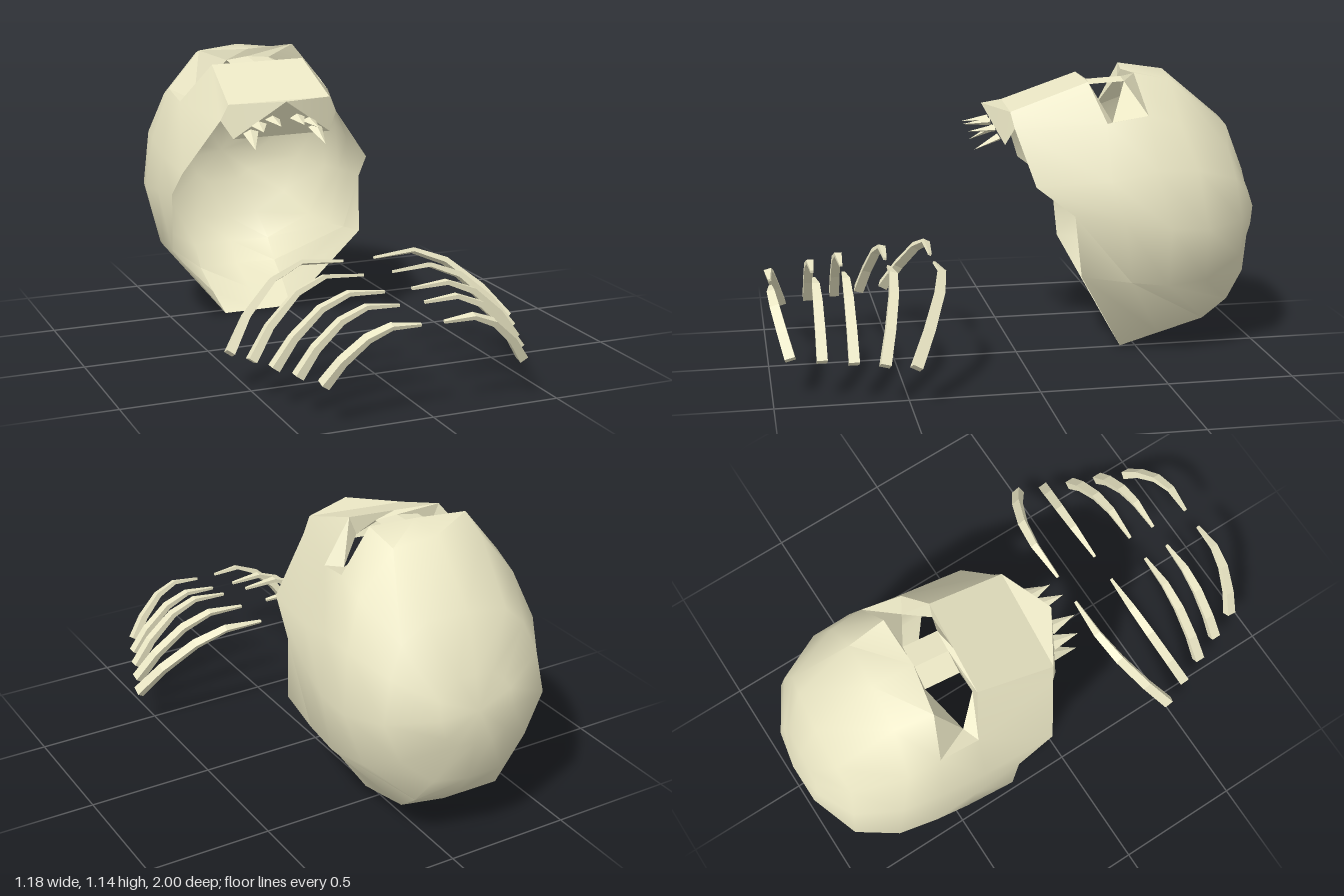
import * as THREE from 'three';
import { toCreasedNormals } from 'three/addons/utils/BufferGeometryUtils.js';

const bone = new THREE.MeshStandardMaterial({ color: 0xeae6c4, side: THREE.DoubleSide });

// Collects polygons (as fans) into a creased geometry
function surface(polys, crease) {
  const pos = [];
  for (const p of polys)
    for (let i = 1; i < p.length - 1; i++) pos.push(...p[0], ...p[i], ...p[i + 1]);
  const g = new THREE.BufferGeometry();
  g.setAttribute('position', new THREE.Float32BufferAttribute(pos, 3));
  return toCreasedNormals(g, crease);
}

function add(parent, name, geometry) {
  const mesh = new THREE.Mesh(geometry, bone);
  mesh.name = name;
  parent.add(mesh);
  return mesh;
}

const mirror = polys => polys.map(p => p.map(([x, y, z]) => [-x, y, z]).reverse());
const bothSides = polys => [...polys, ...mirror(polys)];

// Half sections of the skull, top centre to bottom centre, from the open rim to the back
const rings = [
  [[0, .988, .01], [.205, .988, .01], [.235, .925, -.005], [.38, .715, -.075],
    [.395, .6, -.225], [.4, .36, -.25], [.145, .005, -.445], [0, .005, -.445]],
  [[0, 1.1, -.3], [.19, 1.1, -.3], [.315, .95, -.36], [.395, .73, -.37],
    [.415, .58, -.42], [.395, .33, -.45], [.16, .06, -.6], [0, .06, -.6]],
  [[0, 1.13, -.46], [.2, 1.135, -.48], [.325, .98, -.52], [.4, .77, -.55],
    [.43, .55, -.6], [.38, .31, -.6], [.17, .12, -.78], [0, .12, -.8]],
  [[0, 1.13, -.63], [.18, 1.105, -.63], [.32, .94, -.65], [.385, .77, -.71],
    [.41, .54, -.75], [.33, .32, -.76], [.17, .2, -.88], [0, .2, -.89]],
  [[0, .93, -.87], [.16, .915, -.865], [.25, .835, -.855], [.3, .72, -.88],
    [.33, .56, -.9], [.26, .4, -.91], [.14, .31, -.95], [0, .3, -.96]],
  [[0, .72, -.955], [.07, .72, -.955], [.12, .68, -.955], [.145, .645, -.965],
    [.15, .58, -.985], [.12, .5, -.985], [.07, .46, -.985], [0, .46, -.985]],
];

function buildSkull() {
  const skull = new THREE.Group();
  skull.name = 'skull';

  // Shell, left open at the snout top and the eye band
  const shell = [];
  const pole = [0, .6, -1];
  rings.forEach((ring, i) => {
    const next = rings[i + 1];
    const first = [1, 2][i] ?? 0;
    for (let j = first; j < ring.length - 1; j++)
      shell.push(next
        ? [ring[j], ring[j + 1], next[j + 1], next[j]]
        : [ring[j], ring[j + 1], pole]);
  });
  add(skull, 'skullShell', surface(bothSides(shell), 0.85));

  // Snout: flat top with a pointed, notched upper jaw in front
  const [rim, corner, cheek] = rings[0];
  const [low, lowIn, lowOut] = rings[1];
  const nose = [0, 1, .11], lip = [.195, .855, .03];
  add(skull, 'snout', surface(bothSides([
    [rim, corner, lowIn, low],
    [nose, corner, rim],
    [nose, lip, corner],
    [lip, cheek, corner],
    [nose, [0, lip[1], lip[2]], lip],
  ]), 0.2));

  // Eye sockets: side openings under a high bridge
  const [brow, browIn, browOut] = rings[2];
  const h1 = [.09, 1.08, -.32], h2 = [.16, 1.03, -.305];
  const h3 = [.25, .945, -.39], h4 = [.09, 1.09, -.46];
  const b1 = [0, 1.09, -.32], b2 = [0, 1.1, -.46];
  add(skull, 'eyeSockets', surface(bothSides([
    [low, lowIn, h2, h1, b1],
    [lowIn, lowOut, h3, h2],
    [lowOut, browOut, h3],
    [browOut, browIn, h4, h3],
    [browIn, brow, b2, h4],
    [b1, h1, h4, b2],
  ]), 0.2));

  // Teeth: flattened spikes from root to tip
  const teeth = [
    [[.05, .93, .08], [.045, .92, .19]],
    [[.1, .91, .065], [.11, .9, .17]],
    [[.13, .88, .05], [.14, .83, .15]],
  ];
  for (const side of [1, -1])
    for (const [root, tip] of teeth) {
      const a = new THREE.Vector3(side * root[0], root[1], root[2]);
      const b = new THREE.Vector3(side * tip[0], tip[1], tip[2]);
      const cone = new THREE.ConeGeometry(.03, a.distanceTo(b), 4).toNonIndexed();
      cone.scale(1, 1, .5);
      cone.computeVertexNormals();
      const tooth = add(skull, 'tooth', cone);
      tooth.position.lerpVectors(a, b, .5);
      tooth.quaternion.setFromUnitVectors(new THREE.Vector3(0, 1, 0), b.sub(a).normalize());
    }

  // The skull lies slightly turned and tipped
  skull.position.set(-.162, .003, 0);
  skull.rotation.set(0, -.09, .03);
  return skull;
}

// Rib: rectangular sections along an arch in a leaning plane, thin at the inner end
function ribPolygons({ inner, outer, top, zIn, zOut }) {
  const foot = .165;
  const slope = (zOut - zIn) / (top - foot), norm = Math.hypot(1, slope);
  const halfWidth = [.006, .015, .018, .019, .02];
  const path = [[0, .04], [.33, 0], [.58, .18], [.83, .58], [1, 1]].map(([u, v]) =>
    [inner + (outer - inner) * u, top - .012 - (top - foot) * v, zIn + (zOut - zIn) * v]);
  const sections = path.map(([x, y, z], i) => {
    const p = path[Math.max(i - 1, 0)], q = path[Math.min(i + 1, path.length - 1)];
    const len = Math.hypot(q[0] - p[0], q[1] - p[1]);
    const nx = -(q[1] - p[1]) / len, ny = (q[0] - p[0]) / len / norm;
    const t = .005 + .003 * i, w = halfWidth[i] / norm;
    return [[1, 1], [1, -1], [-1, -1], [-1, 1]].map(([a, b]) =>
      [x + nx * t * a, y + ny * t * a + slope * w * b, z - ny * slope * t * a + w * b]);
  });
  const polys = [sections[0], [...sections[sections.length - 1]].reverse()];
  for (let i = 0; i < sections.length - 1; i++)
    for (let k = 0; k < 4; k++) {
      const m = (k + 1) % 4;
      polys.push([sections[i][m], sections[i + 1][m], sections[i + 1][k], sections[i][k]]);
    }
  return polys;
}

export function createModel() {
  const model = new THREE.Group();
  model.name = 'skeleton';
  model.add(buildSkull());

  // Five pairs of ribs
  const ribs = new THREE.Group();
  ribs.name = 'ribs';
  const pairs = [
    { inner: .065, outer: .575, top: .437, zIn: .335, zOut: .48 },
    { inner: .06, outer: .53, top: .428, zIn: .52, zOut: .59 },
    { inner: .055, outer: .485, top: .41, zIn: .7, zOut: .7 },
    { inner: .05, outer: .44, top: .39, zIn: .815, zOut: .815 },
    { inner: .045, outer: .39, top: .365, zIn: .985, zOut: .93 },
  ];
  for (const pair of pairs) {
    const left = ribPolygons(pair);
    add(ribs, 'leftRib', surface(left, 0.2));
    add(ribs, 'rightRib', surface(mirror(left), 0.2));
  }
  model.add(ribs);
  return model;
}
